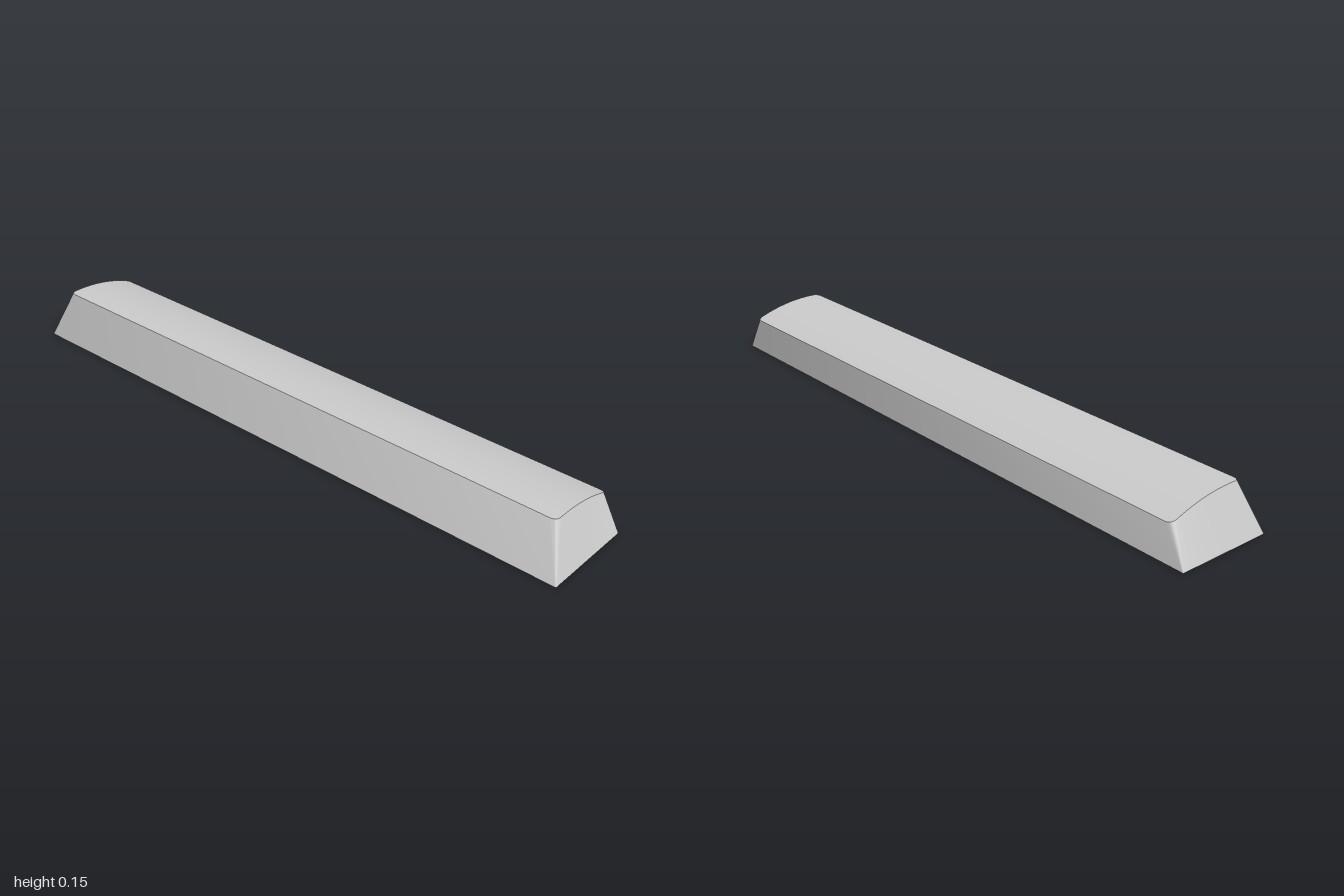
import * as THREE from 'three';
import { toCreasedNormals } from 'three/addons/utils/BufferGeometryUtils.js';

const material = new THREE.MeshStandardMaterial({ color: 0xcccccc });

// height of the gently curved top
const topY = (z) => 0.152 - 0.97 * (z - 0.06) ** 2;

// +x half of a rounded rectangle, from back to front, as [x, z] pairs
function halfOutline(hx, back, front, r) {
  const pts = [];
  const n = 6, sides = 14;
  for (let i = 0; i <= n; i++) {
    const a = (i / n) * Math.PI / 2;
    pts.push([hx - r + r * Math.sin(a), back + r - r * Math.cos(a)]);
  }
  for (let i = 1; i < sides; i++) {
    pts.push([hx, THREE.MathUtils.lerp(back + r, front - r, i / sides)]);
  }
  for (let i = 0; i <= n; i++) {
    const a = (i / n) * Math.PI / 2;
    pts.push([hx - r + r * Math.cos(a), front - r + r * Math.sin(a)]);
  }
  return pts;
}

const lift = (pts, height) => pts.map(([x, z]) => new THREE.Vector3(x, height(z), z));
const mirror = (p) => new THREE.Vector3(-p.x, p.y, p.z);
const fullRing = (half) => [...half, ...half.map(mirror).reverse()];

// hollow cap: outer skin, inner skin and the rim joining them
function shellGeometry() {
  const pos = [];
  const quad = (a, b, c, d, flip) => {
    const order = flip ? [a, c, b, a, d, c] : [a, b, c, a, c, d];
    order.forEach((p) => pos.push(p.x, p.y, p.z));
  };
  const band = (low, high, flip) => low.forEach((p, i) => {
    const j = (i + 1) % low.length;
    quad(p, high[i], high[j], low[j], flip);
  });
  const lid = (half, flip) => {
    for (let i = 0; i < half.length - 1; i++) {
      quad(half[i], mirror(half[i]), mirror(half[i + 1]), half[i + 1], flip);
    }
  };
  const ground = () => 0;
  const outerLow = lift(halfOutline(1, -0.152, 0.153, 0.003), ground);
  const outerTop = lift(halfOutline(0.949, -0.148, 0.098, 0.018), topY);
  const innerLow = lift(halfOutline(0.975, -0.128, 0.129, 0.008), ground);
  const innerTop = lift(halfOutline(0.928, -0.125, 0.08, 0.015), (z) => topY(z) - 0.022);
  band(fullRing(outerLow), fullRing(outerTop), false);
  lid(outerTop, false);
  band(fullRing(innerLow), fullRing(innerTop), true);
  lid(innerTop, true);
  band(fullRing(innerLow), fullRing(outerLow), false);
  const g = new THREE.BufferGeometry();
  g.setAttribute('position', new THREE.Float32BufferAttribute(pos, 3));
  return toCreasedNormals(g, 0.5);
}

// round post with a cross-shaped socket
function stemGeometry() {
  const shape = new THREE.Shape().absarc(0, 0, 0.046, 0, Math.PI * 2, false);
  const l = 0.035, w = 0.011;
  const cross = [[l, w], [w, w], [w, l], [-w, l], [-w, w], [-l, w],
    [-l, -w], [-w, -w], [-w, -l], [w, -l], [w, -w], [l, -w]];
  shape.holes.push(new THREE.Path(cross.map(([x, y]) => new THREE.Vector2(x, y))));
  const g = new THREE.ExtrudeGeometry(shape, { depth: 0.1, bevelEnabled: false, curveSegments: 20 });
  return toCreasedNormals(g.rotateX(-Math.PI / 2), 0.6);
}

// thin crosswise plate from a [z, y] outline
function finGeometry(outline, thickness) {
  const shape = new THREE.Shape(outline.map(([z, y]) => new THREE.Vector2(z, y)));
  return new THREE.ExtrudeGeometry(shape, { depth: thickness, bevelEnabled: false })
    .rotateY(-Math.PI / 2).translate(thickness / 2, 0, 0);
}

export function createModel() {
  const model = new THREE.Group();
  model.name = 'spaceKeycap';
  const add = (name, geometry, x = 0, y = 0, z = 0) => {
    const mesh = new THREE.Mesh(geometry, material);
    mesh.name = name;
    mesh.position.set(x, y, z);
    model.add(mesh);
  };

  add('shell', shellGeometry());

  // mounting posts
  const stem = stemGeometry();
  for (const x of [-0.85, 0, 0.206, 0.85]) add('stem', stem, x, 0.03, 0);

  // long stiffening rib under the top
  add('longRib', new THREE.BoxGeometry(1.3, 0.05, 0.014), 0, 0.11, 0);

  // crosswise fins and small blocks, mirrored
  const frontFin = finGeometry([[0.108, 0.055], [0.08, 0.045], [0.025, 0.135], [0.075, 0.138]], 0.014);
  const middleFin = finGeometry([[0.1, 0.085], [0.012, 0.04], [-0.012, 0.04], [-0.03, 0.132], [0.075, 0.138]], 0.014);
  const stemFin = finGeometry([[0.02, 0.05], [-0.02, 0.05], [-0.03, 0.132], [0.03, 0.135]], 0.012);
  for (const side of [-1, 1]) {
    add('frontFin', frontFin, side * 0.68);
    add('middleFin', middleFin, side * 0.268);
    add('ribBlock', new THREE.BoxGeometry(0.07, 0.05, 0.03), side * 0.68, 0.11, 0);
    for (const offset of [-0.075, 0.075]) {
      add('stemFin', stemFin, side * 0.85 + offset);
      add('stemWeb', new THREE.BoxGeometry(0.06, 0.05, 0.012), side * 0.85 + offset * 0.8, 0.105, 0);
    }
  }
  return model;
}
